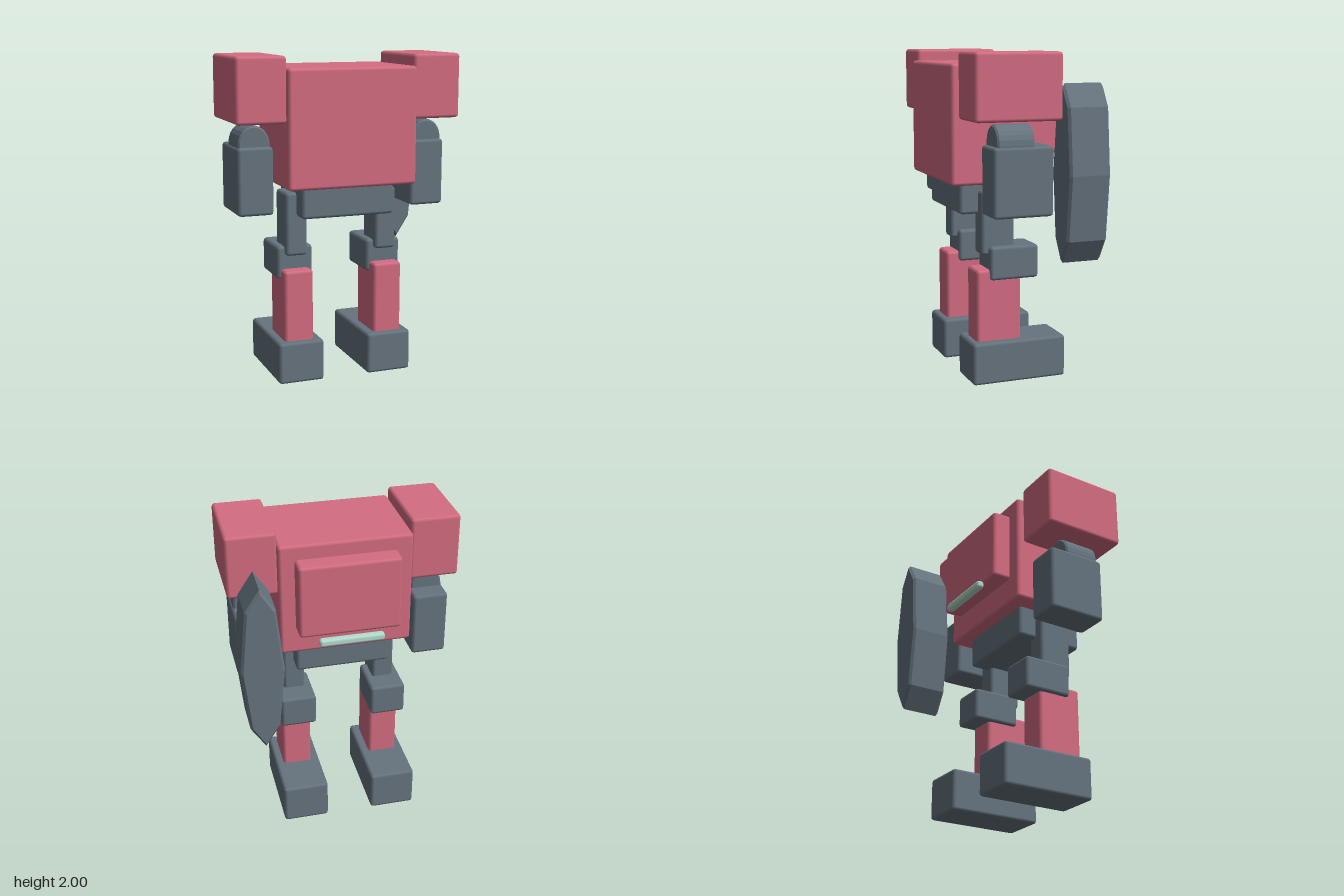
import * as THREE from 'three';
import { RoundedBoxGeometry } from 'three/addons/geometries/RoundedBoxGeometry.js';

const red = new THREE.MeshStandardMaterial({ color: 0xd46d82 });
red.name = 'rose armour';
const grey = new THREE.MeshStandardMaterial({ color: 0x66747f });
grey.name = 'slate grey';
const mint = new THREE.MeshStandardMaterial({ color: 0xb5dccf });
mint.name = 'pale mint';

// Box with softened edges, given by its limits on each axis
function block(name, material, [x0, x1], [y0, y1], [z0, z1], bevel = 0.02) {
  const geometry = new RoundedBoxGeometry(x1 - x0, y1 - y0, z1 - z0, 1, bevel);
  const mesh = new THREE.Mesh(geometry, material);
  mesh.position.set((x0 + x1) / 2, (y0 + y1) / 2, (z0 + z1) / 2);
  mesh.name = name;
  return mesh;
}

// Bevelled prism along z whose outer size equals the outline
function prism(name, material, points, z0, z1, bevel) {
  const shape = new THREE.Shape(points.map(([x, y]) => new THREE.Vector2(x, y)));
  const geometry = new THREE.ExtrudeGeometry(shape, {
    depth: z1 - z0 - 2 * bevel,
    bevelEnabled: true,
    bevelThickness: bevel,
    bevelSize: bevel,
    bevelOffset: -bevel,
    bevelSegments: 1,
  });
  const mesh = new THREE.Mesh(geometry, material);
  mesh.position.z = z0 + bevel;
  mesh.name = name;
  return mesh;
}

export function createModel() {
  const model = new THREE.Group();
  model.name = 'robot';

  // Body, pelvis and backpack
  model.add(
    block('torso', red, [-0.405, 0.405], [1.22, 1.93], [-0.165, 0.445]),
    block('pelvis', grey, [-0.295, 0.295], [1.03, 1.25], [-0.08, 0.36]),
    block('backpack', red, [-0.31, 0.31], [1.38, 1.84], [-0.28, -0.14]),
    block('backLight', mint, [-0.2, 0.2], [1.33, 1.38], [-0.33, -0.28], 0.018),
    block('backLightMount', red, [-0.19, 0.19], [1.34, 1.4], [-0.285, -0.16], 0.01),
  );
  model.remove(model.getObjectByName('backLightMount'));

  // Arms and legs, laid out for +x and mirrored
  for (const side of [1, -1]) {
    const sideName = side > 0 ? 'left' : 'right';
    const span = (a, b) => (side > 0 ? [a, b] : [-b, -a]);

    const arm = new THREE.Group();
    arm.name = sideName + 'Arm';
    // Round-topped elbow joint
    const joint = [[0.46, 1.4], [0.655, 1.4]];
    for (let i = 0; i <= 12; i++) {
      const a = (i / 12) * Math.PI;
      joint.push([0.5575 + 0.0975 * Math.cos(a), 1.475 + 0.115 * Math.sin(a)]);
    }
    const outline = joint.map(([x, y]) => [x * side, y]);
    arm.add(
      block('shoulder', red, span(0.4, 0.705), [1.61, 2], [-0.125, 0.405]),
      prism('armJoint', grey, outline, 0.027, 0.255, 0.01),
      block('forearm', grey, span(0.445, 0.665), [1.055, 1.465], [-0.09, 0.28]),
    );

    const leg = new THREE.Group();
    leg.name = sideName + 'Leg';
    leg.add(
      block('thigh', grey, span(0.225, 0.36), [0.785, 1.175], [0.035, 0.245]),
      block('knee', grey, span(0.18, 0.405), [0.635, 0.84], [-0.105, 0.205]),
      block('shin', red, span(0.2, 0.385), [0.24, 0.7], [0, 0.285]),
      block('foot', grey, span(0.145, 0.435), [0, 0.26], [-0.275, 0.325]),
    );
    model.add(arm, leg);
  }

  // Long pointed shield behind the left arm
  model.add(prism('shield', grey, [
    [0.56, 0.75], [0.65, 0.89], [0.69, 1.283], [0.65, 1.68],
    [0.56, 1.816], [0.47, 1.68], [0.43, 1.283], [0.47, 0.89],
  ], -0.44, -0.18, 0.015));

  return model;
}
